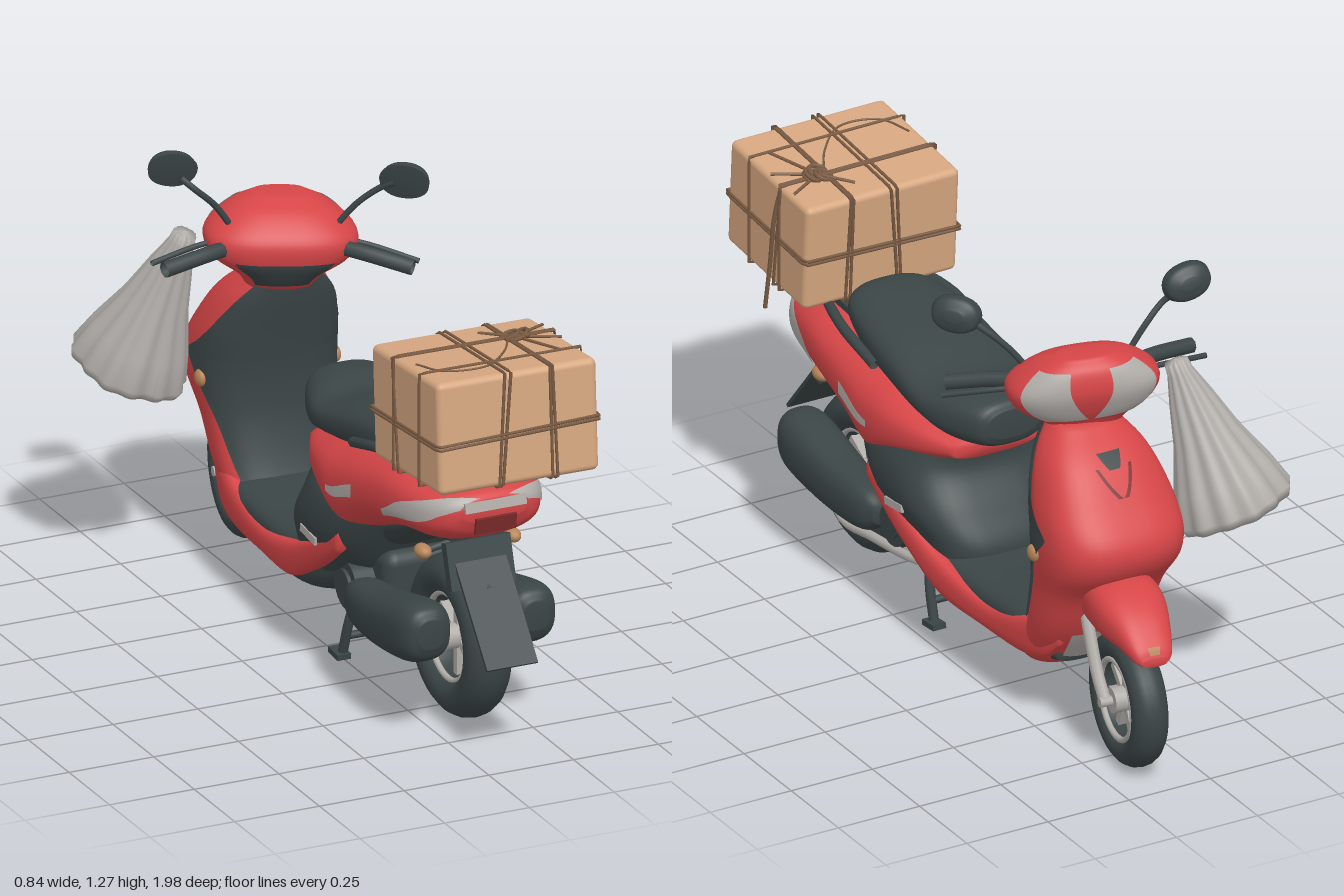
import * as THREE from 'three';
import { RoundedBoxGeometry } from 'three/addons/geometries/RoundedBoxGeometry.js';

const paint = (name, color, extra = {}) => new THREE.MeshStandardMaterial({ name, color, ...extra });
const V = (x, y, z) => new THREE.Vector3(x, y, z);

export function createModel() {
  const red = paint('red paint', 0xd64547), dark = paint('dark plastic', 0x3b4546, { side: THREE.DoubleSide });
  const grey = paint('grey metal', 0xb0aca8, { side: THREE.DoubleSide }), card = paint('cardboard', 0xd6a780);
  const rope = paint('brown rope', 0x7a5b43), amber = paint('amber lens', 0xb8855a, { side: THREE.DoubleSide });
  const lens = paint('deep red lens', 0x7c2b2b, { side: THREE.DoubleSide });

  const model = new THREE.Group();
  model.name = 'scooter';
  const group = (name, x, y, z, parent = model) => {
    const g = new THREE.Group();
    g.name = name; g.position.set(x, y, z); parent.add(g);
    return g;
  };
  const add = (parent, name, geo, mat, x = 0, y = 0, z = 0, rx = 0, ry = 0, rz = 0) => {
    const m = new THREE.Mesh(geo, mat);
    m.name = name; m.position.set(x, y, z); m.rotation.set(rx, ry, rz); parent.add(m);
    return m;
  };
  const tube = (parent, name, mat, r, pts, segs = 16) =>
    add(parent, name, new THREE.TubeGeometry(new THREE.CatmullRomCurve3(pts.map(p => V(...p))), segs, r, 8), mat);
  const box = (x, y, z) => new THREE.BoxGeometry(x, y, z);
  const disc = (r, w, n = 24) => new THREE.CylinderGeometry(r, r, w, n).rotateZ(Math.PI / 2);
  const bulb = (x, y, z) => new THREE.SphereGeometry(1, 16, 10).scale(x, y, z);

  // Rounded cross-sections [station, low, high, halfWidth]; axis 'z' runs rearwards, axis 'y' runs downwards.
  // With an angle range a (ending at b) it makes an open patch of the same surface, pushed out by grow.
  const loft = (axis, rows, { n = 2.6, t = [0, 1], a = null, b = a, grow = 0 } = {}) => {
    const line = f => new THREE.CatmullRomCurve3(rows.map(f), false, 'catmullrom', 0.5);
    const mid = line(r => V(r[0], (r[1] + r[2]) / 2, 0)), half = line(r => V(r[3], (r[2] - r[1]) / 2, 0));
    const rings = a ? 14 : rows.length * 5, m = a ? 14 : 40, pos = [], idx = [];
    const put = (x, s, v) => axis === 'z' ? pos.push(x, v, s) : pos.push(x, s, v);
    const pw = c => Math.sign(c) * Math.abs(c) ** (2 / n);
    const mix = THREE.MathUtils.lerp;
    for (let i = 0; i <= rings; i++) {
      const f = i / rings, u = mix(t[0], t[1], f), c = mid.getPoint(u), h = half.getPoint(u);
      for (let j = 0; j <= m; j++) {
        const ang = a ? mix(mix(a[0], b[0], f), mix(a[1], b[1], f), j / m) : j / m * Math.PI * 2;
        if (j < m || a) put((h.x + grow) * pw(Math.cos(ang)), c.x, c.y + (h.y + grow) * pw(Math.sin(ang)));
      }
    }
    const w = a ? m + 1 : m;
    for (let i = 0; i < rings; i++) for (let j = 0; j < m; j++) {
      const k = (j + 1) % w, p = i * w, q = p + w;
      idx.push(p + j, p + k, q + j, p + k, q + k, q + j);
    }
    if (!a) for (const end of [0, 1]) {
      const c = mid.getPoint(end), o = pos.length / 3, p = end * rings * w;
      put(0, c.x, c.y);
      for (let j = 0; j < m; j++) {
        const k = (j + 1) % m;
        idx.push(o, p + (end ? j : k), p + (end ? k : j));
      }
    }
    const g = new THREE.BufferGeometry();
    g.setAttribute('position', new THREE.Float32BufferAttribute(pos, 3));
    g.setIndex(idx); g.computeVertexNormals();
    return g;
  };
  // Angle range on the +x side, or its mirror image
  const sided = (s, lo, hi) => s > 0 ? [lo, hi] : [Math.PI - hi, Math.PI - lo];

  const body = group('body', 0.095, 0, 0);

  // Front shield with dark inner leg panel, nose vent and grey underside
  const shield = [[0.9, -0.56, -0.43, 0.09], [0.82, -0.66, -0.44, 0.15], [0.72, -0.74, -0.46, 0.185], [0.63, -0.8, -0.475, 0.197],
    [0.55, -0.79, -0.48, 0.195], [0.45, -0.71, -0.47, 0.18], [0.32, -0.64, -0.43, 0.168], [0.19, -0.54, -0.36, 0.14]];
  const PI = Math.PI, nose = 3 * PI / 2;
  const shell = group('shieldShell', 0.01, 0, 0, body);
  add(shell, 'frontShield', loft('y', shield), red);
  add(shell, 'upperLegPanel', loft('y', shield, { t: [0.06, 0.42], a: [0.7, PI - 0.7], b: [-0.06, PI + 0.06], grow: 0.008 }), dark);
  add(shell, 'lowerLegPanel', loft('y', shield, { t: [0.42, 0.9], a: [-0.06, PI + 0.06], b: [0.75, PI - 0.75], grow: 0.008 }), dark);
  add(shell, 'noseVent', loft('y', shield, { t: [0.1, 0.16], a: [nose - 0.17, nose + 0.17], b: [nose - 0.05, nose + 0.05], grow: 0.005 }), dark);
  for (const e of [-1, 1])
    add(shell, 'noseCrease', loft('y', shield, { t: [0.15, 0.25], a: [nose + e * 0.2, nose + e * 0.26], b: [nose, nose + e * 0.04], grow: 0.004 }), lens);
  add(shell, 'shieldUnderside', loft('y', shield, { t: [0.86, 0.99], a: [4.15, 5.27], grow: 0.005 }), grey);

  // Floor, seat support and side sills
  add(body, 'floor', loft('z', [[-0.56, 0.2, 0.3, 0.12], [-0.45, 0.175, 0.32, 0.16], [-0.25, 0.165, 0.31, 0.167],
    [-0.05, 0.165, 0.32, 0.17], [0.1, 0.2, 0.38, 0.17], [0.25, 0.27, 0.42, 0.15]], { n: 4 }), dark);
  add(body, 'seatSupport', loft('y', [[0.66, -0.03, 0.5, 0.14], [0.6, -0.01, 0.48, 0.175], [0.52, 0.0, 0.42, 0.214], [0.42, -0.06, 0.36, 0.22],
    [0.33, -0.11, 0.3, 0.185], [0.25, -0.1, 0.2, 0.16]], { n: 3 }), dark);
  for (const s of [-1, 1]) {
    add(body, 'sideSill', loft('z', [[-0.6, 0.28, 0.36, 0.01], [-0.53, 0.215, 0.34, 0.024], [-0.43, 0.19, 0.3, 0.028], [-0.25, 0.19, 0.265, 0.025],
      [-0.05, 0.2, 0.3, 0.028], [0.1, 0.27, 0.36, 0.028], [0.2, 0.33, 0.41, 0.025], [0.3, 0.4, 0.46, 0.016]]), red, s * 0.172, 0, 0, 0, s * 0.07);
    add(body, 'sideBadgePlate', box(0.008, 0.022, 0.09), grey, s * 0.216, 0.395, 0.14, 0.12);
    add(shell, 'shieldSignal', bulb(0.014, 0.024, 0.024), amber, s * 0.199, 0.57, -0.585);
  }

  // Tail fairing with lamps and side flashes
  const tail = [[-0.03, 0.57, 0.63, 0.13], [0.08, 0.53, 0.665, 0.185], [0.2, 0.485, 0.7, 0.219], [0.3, 0.44, 0.725, 0.226], [0.42, 0.5, 0.745, 0.222],
    [0.6, 0.56, 0.77, 0.21], [0.74, 0.58, 0.755, 0.18], [0.81, 0.61, 0.74, 0.14], [0.84, 0.66, 0.72, 0.09]];
  add(body, 'tailFairing', loft('z', tail), red);
  for (const s of [-1, 1]) {
    add(body, 'tailLamp', loft('z', tail, { t: [0.61, 0.98], a: sided(s, -0.36, -0.18), b: sided(s, 0.25, 1.25), grow: 0.004 }), grey);
    add(body, 'sideFlash', loft('z', tail, { t: [0.34, 0.5], a: sided(s, -0.03, 0.03), b: sided(s, -0.07, 0.1), grow: 0.004 }), grey);
    add(body, 'rearSignal', bulb(0.022, 0.02, 0.032), amber, s * 0.132, 0.53, 0.67);
    tube(body, 'signalStalk', dark, 0.01, [[0, 0.55, 0.67], [s * 0.12, 0.53, 0.67]], 2);
    tube(body, 'grabRail', dark, 0.015, [[s * 0.17, 0.72, 0.32], [s * 0.175, 0.77, 0.5], [s * 0.12, 0.785, 0.66], [0, 0.785, 0.72]]);
  }
  add(body, 'brakeLens', box(0.12, 0.045, 0.009), lens, 0, 0.65, 0.843, 0.15);
  add(body, 'lampBand', box(0.18, 0.028, 0.009), grey, 0, 0.706, 0.842, -0.25);
  add(body, 'rack', box(0.24, 0.02, 0.24), dark, 0, 0.775, 0.66, -0.06);
  add(body, 'seat', loft('z', [[-0.125, 0.66, 0.74, 0.075], [-0.1, 0.63, 0.765, 0.11], [0, 0.62, 0.775, 0.155], [0.1, 0.645, 0.765, 0.175],
    [0.25, 0.66, 0.805, 0.17], [0.4, 0.69, 0.83, 0.16], [0.53, 0.73, 0.84, 0.13], [0.59, 0.76, 0.82, 0.07]]), dark);

  // Number plate holder and mudflap
  add(body, 'plateHolder', box(0.19, 0.13, 0.03), dark, -0.01, 0.51, 0.76, -0.3);
  add(body, 'mudflap', box(0.15, 0.33, 0.01), dark, -0.01, 0.41, 0.86, -0.7);
  tube(body, 'flapBracket', dark, 0.013, [[-0.01, 0.58, 0.68], [-0.01, 0.5, 0.76], [-0.01, 0.45, 0.82]]);

  // Engine, side covers, stand
  add(body, 'engine', new RoundedBoxGeometry(0.2, 0.2, 0.24, 3, 0.04), dark, 0, 0.3, 0.26);
  add(body, 'rearInnerGuard', loft('z', [[0.3, 0.38, 0.56, 0.12], [0.42, 0.45, 0.58, 0.11], [0.55, 0.52, 0.6, 0.09], [0.72, 0.55, 0.62, 0.08]]), dark);
  for (const s of [-1, 1]) {
    add(body, s > 0 ? 'muffler' : 'driveCover', loft('z', [[0.3, 0.25, 0.31, 0.03], [0.36, 0.21, 0.34, 0.055], [0.5, 0.205, 0.36, 0.07],
      [0.68, 0.225, 0.4, 0.077], [0.75, 0.25, 0.4, 0.065], [0.775, 0.29, 0.37, 0.035]]), dark, s * 0.155);
    add(body, 'clutchCover', disc(0.07, 0.06), dark, s * 0.13, 0.28, 0.25);
    add(body, 'clutchCap', disc(0.045, 0.08), dark, s * 0.13, 0.28, 0.25);
    tube(body, 'standLeg', dark, 0.014, [[s * 0.08, 0.22, 0.17], [s * 0.1, 0.13, 0.15], [s * 0.105, 0.03, 0.12]]);
    add(body, 'standFoot', box(0.04, 0.016, 0.06), dark, s * 0.11, 0.024, 0.11, 0.1);
  }
  add(body, 'standBar', disc(0.011, 0.21, 10), dark, 0, 0.08, 0.135);
  tube(body, 'exhaustPipe', grey, 0.013, [[0.09, 0.19, 0.13], [0.11, 0.175, 0.2], [0.12, 0.15, 0.42], [0.12, 0.135, 0.58], [0.12, 0.2, 0.66]]);

  // Wheels
  const wheel = (name, parent, R, r, spokes) => {
    const w = group(name, 0, 0, 0, parent);
    add(w, 'tyre', new THREE.TorusGeometry(R, r, 16, 48).rotateY(Math.PI / 2).scale(1.15, 1, 1), dark);
    add(w, 'rim', new THREE.CylinderGeometry(R - r * 0.75, R - r * 0.75, 0.07, 40, 1, true).rotateZ(Math.PI / 2), grey);
    for (const s of [-1, 1])
      add(w, 'rimEdge', new THREE.TorusGeometry(R - r * 0.8, 0.009, 8, 40).rotateY(Math.PI / 2), grey, s * 0.035);
    add(w, 'hub', disc(0.035, 0.1), grey);
    for (let i = 0; i < spokes; i++) {
      const a = i / spokes * PI * 2, L = R - r * 0.8;
      add(w, 'spoke', box(0.03, L, 0.022), grey, 0, Math.cos(a) * L / 2, Math.sin(a) * L / 2, a);
    }
    return w;
  };
  wheel('rearWheel', body, 0.168, 0.058, 6).position.set(0.01, 0.24, 0.604);

  // Steered front end
  const front = group('frontEnd', 0.135, 0.19, -0.8);
  front.rotation.y = -0.13;
  wheel('frontWheel', front, 0.146, 0.044, 7);
  const fender = [[-0.185, 0.178, 0.2, 0.035], [-0.165, 0.178, 0.235, 0.056], [-0.1, 0.185, 0.295, 0.078], [-0.02, 0.185, 0.335, 0.098],
    [0.06, 0.185, 0.345, 0.1], [0.15, 0.18, 0.33, 0.085]];
  add(front, 'frontFender', loft('z', fender), red);
  add(front, 'fenderReflector', loft('z', fender, { t: [0.04, 0.16], a: [1.35, 1.8], grow: 0.004 }), amber);
  for (const s of [-1, 1])
    tube(front, 'forkLeg', grey, 0.018, [[s * 0.065, 0, 0.01], [s * 0.068, 0.06, 0.055], [s * 0.068, 0.24, 0.15]], 10);
  add(front, 'axle', disc(0.014, 0.17, 12), grey);

  // Handlebar cowl, headlight, grips and mirrors
  const bars = group('handlebars', 0.09, 0.985, -0.47);
  bars.rotation.set(0, -0.3, -0.05);
  const cowl = [[0.112, -0.1, -0.02, 0.07], [0.08, -0.13, 0.05, 0.14], [0.02, -0.14, 0.105, 0.205], [-0.04, -0.12, 0.105, 0.19],
    [-0.09, -0.09, 0.08, 0.12], [-0.13, -0.07, 0.05, 0.09]];
  add(bars, 'cowl', loft('y', cowl), red);
  for (const s of [-1, 1]) {
    add(bars, 'headlight', loft('y', cowl, { t: [0.17, 0.7], a: s > 0 ? [nose + 0.3, nose + 1.25] : [nose - 1.25, nose - 0.3],
      b: s > 0 ? [nose + 0.02, nose + 0.75] : [nose - 0.75, nose - 0.02], grow: 0.004 }), grey);
    tube(bars, 'grip', dark, 0.022, [[s * 0.13, -0.005, 0.04], [s * 0.22, -0.012, 0.095], [s * 0.335, -0.03, 0.15]], 10);
    tube(bars, 'brakeLever', dark, 0.008, [[s * 0.14, 0.0, 0.0], [s * 0.23, -0.01, 0.03], [s * 0.36, -0.035, 0.09]], 10);
    tube(bars, 'mirrorStalk', dark, 0.009, [[s * 0.13, 0.03, 0.03], [s * 0.19, 0.11, 0.04], [s * 0.25, 0.165, 0.06], [s * 0.285, 0.19, 0.065 + s * 0.02]]);
    add(bars, 'mirror', loft('z', [[-0.03, -0.015, 0.015, 0.025], [-0.014, -0.046, 0.046, 0.06], [0.013, -0.052, 0.052, 0.07]], { n: 2.2 }), dark,
      s * 0.312, 0.21 - s * 0.01, 0.065 + s * 0.025, 0.25, -0.15 - s * 0.3, s * 0.25);
  }
  add(bars, 'dashboard', loft('y', cowl, { t: [0.6, 0.92], a: [0.9, 2.24], grow: 0.004 }), dark);
  tube(bars, 'steeringNeck', dark, 0.05, [[0, -0.2, -0.02], [0, -0.08, 0]], 2);

  // Pleated bag hanging beside the grip
  const bagGeo = new THREE.LatheGeometry([[0, -0.46], [0.09, -0.458], [0.15, -0.45], [0.16, -0.425], [0.135, -0.34], [0.09, -0.22], [0.06, -0.11],
    [0.035, -0.03], [0.032, 0.0], [0, 0.008]].map(p => new THREE.Vector2(...p)), 96);
  const bp = bagGeo.attributes.position;
  for (let i = 0; i < bp.count; i++) {
    const a = Math.atan2(bp.getZ(i), bp.getX(i)), k = 1 + 0.035 * Math.cos(13 * a) + 0.035 * Math.cos(5 * a + 1);
    bp.setX(i, bp.getX(i) * k); bp.setZ(i, bp.getZ(i) * k);
  }
  bagGeo.computeVertexNormals();
  add(model, 'bag', bagGeo, grey, -0.155, 1.01, -0.55).quaternion.setFromUnitVectors(V(0, -1, 0), V(-0.105, -0.4, -0.125).normalize());

  // Tied parcel
  const parcel = group('parcel', 0.1, 0.958, 0.77);
  parcel.rotation.set(-0.08, 0, -0.01);
  const [hx, hy, hz] = [0.236, 0.157, 0.207];
  add(parcel, 'carton', new RoundedBoxGeometry(hx * 2, hy * 2, hz * 2, 3, 0.018), card);
  const loop = f => {
    const pts = [[1, 1], [-1, 1], [-1, -1], [1, -1]].map(([a, b]) => V(...f(a, b)));
    const path = new THREE.CurvePath();
    pts.forEach((p, i) => path.add(new THREE.LineCurve3(p, pts[(i + 1) % 4])));
    add(parcel, 'rope', new THREE.TubeGeometry(path, 80, 0.0045, 6, true), rope);
  };
  const [ox, oy, oz] = [hx + 0.002, hy + 0.002, hz + 0.002];
  for (const [x, d] of [[-0.05, 0.012], [-0.036, 0.016], [0.095, 0], [0.106, -0.004]]) loop((a, b) => [x + d * a, a * oy, b * oz]);
  for (const [z, d] of [[-0.07, 0.01], [-0.058, -0.01], [0.09, 0.01]]) loop((a, b) => [a * ox, b * oy, z + d * b]);
  for (const y of [-0.02, -0.01]) loop((a, b) => [a * ox, y + 0.008 * a, b * oz]);
  for (let i = 0; i < 4; i++)
    add(parcel, 'knot', new THREE.TorusGeometry(0.024, 0.006, 6, 16), rope, 0.12 + 0.016 * Math.cos(i * 2), hy + 0.006, -0.06 + 0.016 * Math.sin(i * 2), 1.45, i * 0.15, i);
  for (const [x, z] of [[0.23, 0.0], [0.23, -0.12], [0.18, 0.1], [0.05, -0.14]])
    tube(parcel, 'knotStrand', rope, 0.0045, [[0.12, hy + 0.004, -0.06], [x, hy + 0.002, z]], 4);
  tube(parcel, 'looseTwine', rope, 0.003, [[0.1, hy + 0.004, -0.06], [0.04, hy + 0.003, 0.04], [-0.06, hy + 0.002, 0.13], [-0.17, hy + 0.002, 0.11], [-0.21, hy + 0.002, 0.02]], 32);
  tube(parcel, 'ropeEnd', rope, 0.006, [[0.225, 0.15, -0.05], [0.241, 0.05, -0.045], [0.243, -0.1, -0.035], [0.25, -0.235, -0.03]]);

  return model;
}
